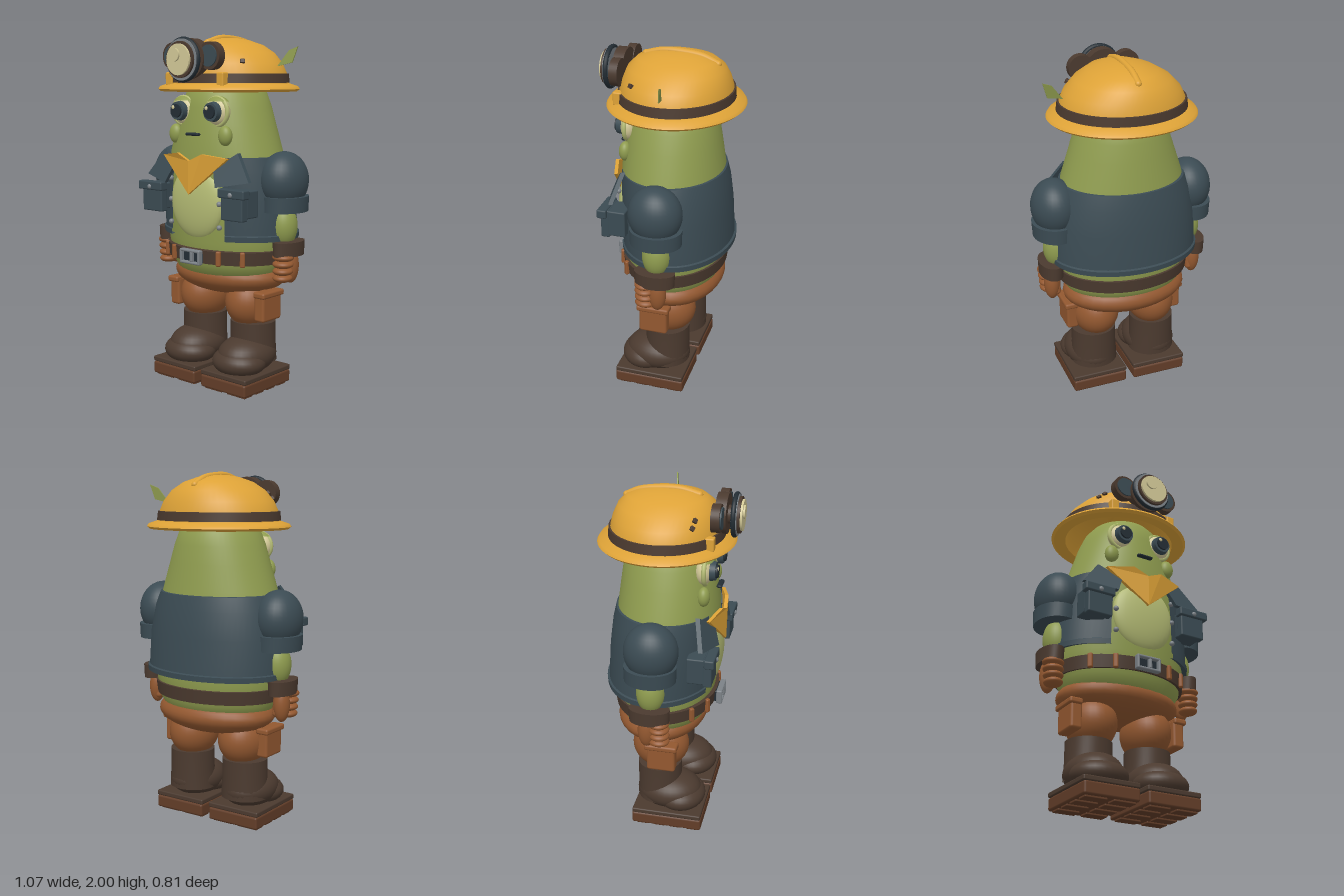
import * as THREE from 'three';
import { toCreasedNormals } from 'three/addons/utils/BufferGeometryUtils.js';
import { RoundedBoxGeometry } from 'three/addons/geometries/RoundedBoxGeometry.js';

const paint = (name, color) => Object.assign(new THREE.MeshStandardMaterial({ color }), { name });

export function createModel() {
  const root = new THREE.Group();
  root.name = 'miner';
  const yellow = paint('helmet yellow', 0xdda237);
  const green = paint('skin green', 0x8f9c4f);
  const pale = paint('belly green', 0xb4bb74);
  const slate = paint('vest slate', 0x3b4b53);
  const brown = paint('dark leather', 0x4b3a2f);
  const rust = paint('rust leather', 0x935830);
  const sole = paint('sole brown', 0x623d28);
  const grey = paint('metal grey', 0x7c8287);
  const cream = paint('lamp cream', 0xd3c997);
  const dark = paint('pupil dark', 0x232d34);

  const add = (name, geo, mat, x = 0, y = 0, z = 0) => {
    const m = new THREE.Mesh(geo, mat);
    m.name = name;
    m.position.set(x, y, z);
    root.add(m);
    return m;
  };
  const ball = (name, mat, x, y, z, rx, ry, rz) =>
    add(name, new THREE.SphereGeometry(1, 32, 20).scale(rx, ry, rz), mat, x, y, z);
  const box = (name, mat, x, y, z, w, h, d, r = 0.008) =>
    add(name, new RoundedBoxGeometry(w, h, d, 2, Math.min(r, w / 2.1, h / 2.1, d / 2.1)), mat, x, y, z);
  // Disc facing forward, spanning z0..z1
  const disc = (name, mat, x, y, z0, z1, r, r2 = r) =>
    add(name, new THREE.CylinderGeometry(r2, r, z1 - z0, 36).rotateX(Math.PI / 2), mat, x, y, (z0 + z1) / 2);
  // Skin over elliptical rings [y, rx, rz, centreZ]; a0 leaves a gap at the front
  const loft = (rows, a0 = 0, n = 56) => {
    const pos = [], idx = [];
    for (const [y, rx, rz, cz = 0] of rows)
      for (let i = 0; i <= n; i++) {
        const a = a0 + (i / n) * (2 * Math.PI - 2 * a0);
        pos.push(rx * Math.sin(a), y, cz + rz * Math.cos(a));
      }
    for (let j = 0; j < rows.length - 1; j++)
      for (let i = 0; i < n; i++) {
        const a = j * (n + 1) + i, b = a + n + 1;
        idx.push(a, a + 1, b + 1, a, b + 1, b);
      }
    const g = new THREE.BufferGeometry();
    g.setAttribute('position', new THREE.Float32BufferAttribute(pos, 3));
    g.setIndex(idx);
    return toCreasedNormals(g, 0.7);
  };
  // Flat outline with a thickness, its z shifted by a rule
  const plate = (name, mat, pts, depth, rule) => {
    const g = new THREE.ExtrudeGeometry(new THREE.Shape(pts.map(p => new THREE.Vector2(...p))), { depth, bevelEnabled: false });
    const p = g.attributes.position;
    for (let i = 0; i < p.count; i++) p.setZ(i, p.getZ(i) + rule(p.getX(i), p.getY(i)));
    g.computeVertexNormals();
    return add(name, g, mat);
  };

  // Body, belly and trousers
  add('body', loft([[0.6, 0, 0, -0.03], [0.62, 0.25, 0.18, -0.03], [0.66, 0.33, 0.24, -0.03], [0.72, 0.368, 0.272, -0.03],
    [0.85, 0.39, 0.29, -0.03], [1, 0.395, 0.295, -0.025], [1.2, 0.385, 0.295, -0.02], [1.35, 0.345, 0.285, -0.01],
    [1.5, 0.295, 0.265, -0.01], [1.6, 0.262, 0.25, -0.01], [1.69, 0.222, 0.23, -0.01], [1.74, 0.18, 0.185, -0.01],
    [1.775, 0.1, 0.11, -0.01], [1.785, 0, 0, -0.01]]), green);
  ball('bellyPatch', pale, 0, 1.075, 0.24, 0.19, 0.21, 0.06);
  ball('trousers', rust, 0, 0.64, -0.045, 0.368, 0.12, 0.262);

  // Vest with an open front
  add('vest', loft([[0.88, 0.4, 0.29, -0.04], [0.87, 0.435, 0.32, -0.045], [0.9, 0.437, 0.322, -0.045], [0.905, 0.428, 0.312, -0.043],
    [1.1, 0.42, 0.308, -0.035], [1.25, 0.39, 0.3, -0.025], [1.33, 0.362, 0.292, -0.015], [1.335, 0.34, 0.27, -0.015]], 0.48),
    Object.assign(slate, { side: THREE.DoubleSide }));
  plate('neckerchief', yellow, [[-0.24, 1.33], [0, 1.125], [0.24, 1.33], [0.09, 1.35], [0, 1.31], [-0.09, 1.35]], 0.02,
    x => 0.295 - 0.9 * x * x);

  // Belt, loops and buckle
  add('belt', loft([[0.74, 0.36, 0.27, -0.025], [0.735, 0.385, 0.292, -0.025], [0.81, 0.395, 0.3, -0.025], [0.815, 0.37, 0.28, -0.025]]), brown);
  for (const x of [-0.295, -0.175, 0.165, 0.285]) {
    const a = Math.asin(x / 0.4);
    box('beltLoop', rust, x, 0.772, -0.025 + 0.302 * Math.cos(a), 0.028, 0.085, 0.025).rotation.y = a;
  }
  box('buckleBack', dark, 0, 0.772, 0.275, 0.13, 0.07, 0.03);
  for (const s of [-1, 1]) {
    box('buckleRail', grey, 0, 0.772 + s * 0.034, 0.295, 0.15, 0.016, 0.035);
    box('buckleSide', grey, s * 0.067, 0.772, 0.295, 0.016, 0.084, 0.035);
  }
  box('bucklePin', grey, 0.01, 0.772, 0.297, 0.02, 0.06, 0.03);

  for (const s of [-1, 1]) {
    // Lapel, buttons and chest pocket
    plate('lapel', slate, [[s * 0.27, 1.36], [s * 0.15, 1.27], [s * 0.19, 1.175], [s * 0.38, 1.21]], 0.025,
      (x, y) => 0.285 - (y - 1.18) * 0.42 - (Math.abs(x) - 0.17) * 0.22);
    for (const y of [1.2, 1.08, 0.95]) ball('vestButton', grey, s * 0.182, y, 0.262, 0.015, 0.015, 0.015);
    box('pocketBacking', slate, s * 0.305, 1.09, 0.21, 0.14, 0.15, 0.1);
    box('pocket', slate, s * 0.3, 1.085, 0.275, 0.15, 0.165, 0.05);
    box('pocketFlap', slate, s * 0.305, 1.15, 0.288, 0.185, 0.05, 0.055);
    ball('pocketButton', grey, s * 0.305, 1.145, 0.315, 0.014, 0.014, 0.01);

    // Arm, glove cuff and fist
    ball('shoulder', slate, s * 0.405, 1.205, -0.025, 0.13, 0.16, 0.15);
    add('sleeveCuff', loft([[1.035, 0, 0], [1.035, 0.12, 0.143], [1.12, 0.125, 0.145], [1.125, 0, 0]], 0, 32), slate, s * 0.41, 0, -0.03);
    ball('forearm', green, s * 0.4, 0.95, -0.03, 0.078, 0.12, 0.08);
    add('gloveCuff', loft([[0.79, 0, 0], [0.79, 0.066, 0.112], [0.87, 0.069, 0.116], [0.872, 0, 0]], 0, 32), brown, s * 0.438, 0, -0.03);
    ball('palm', rust, s * 0.44, 0.73, -0.045, 0.045, 0.1, 0.05);
    for (let i = 0; i < 4; i++)
      ball('finger', rust, s * (0.442 - i * 0.001), 0.785 - i * 0.039, 0.025, 0.062 - i * 0.003, 0.025, 0.058);
    const thumb = add('thumb', new THREE.CapsuleGeometry(0.022, 0.1, 6, 14), rust, s * 0.415, 0.73, -0.055);
    thumb.rotation.x = 0.12;

    // Thigh and leg pouch
    ball('thigh', rust, s * 0.175, 0.49, -0.025, 0.14, 0.15, 0.165);
    box('pouch', rust, s * 0.325, 0.49, 0.012, 0.07, 0.165, 0.165, 0.015);
    box('pouchFlap', rust, s * 0.332, 0.562, 0.012, 0.08, 0.035, 0.19, 0.012);

    // Boot with a treaded sole
    add('bootShaft', loft([[0.15, 0.14, 0.13], [0.27, 0.132, 0.128], [0.38, 0.132, 0.128], [0.385, 0, 0]], 0, 36), brown, s * 0.187, 0, -0.028);
    ball('bootFoot', brown, s * 0.19, 0.19, 0.03, 0.155, 0.11, 0.19);
    ball('toeCap', brown, s * 0.19, 0.16, 0.1, 0.162, 0.085, 0.145);
    box('welt', brown, s * 0.19, 0.098, 0.042, 0.335, 0.03, 0.41);
    box('sole', sole, s * 0.19, 0.047, 0.042, 0.33, 0.072, 0.415, 0.012);
    for (let r = 0; r < 4; r++)
      for (const t of [-1, 1]) box('tread', sole, s * 0.19 + t * 0.085, 0.01, -0.105 + r * 0.1, 0.13, 0.02, 0.07, 0.004);

    // Eye, lid and cheek
    const ex = s * 0.125, ey = 1.58;
    ball('eyeball', cream, ex, ey, 0.205, 0.078, 0.08, 0.05);
    add('eyeRim', new THREE.TorusGeometry(0.075, 0.013, 10, 36), pale, ex, ey, 0.215);
    add('eyelid', new THREE.SphereGeometry(1, 28, 10, 0, Math.PI * 2, 0, 0.85).scale(0.088, 0.086, 0.066), green, ex, ey, 0.206);
    disc('iris', slate, ex, ey, 0.235, 0.272, 0.056, 0.05);
    disc('pupil', dark, ex, ey, 0.27, 0.283, 0.037);
    ball('eyeGlint', cream, ex - 0.018, ey + 0.02, 0.283, 0.011, 0.011, 0.005);
    ball('cheek', green, s * 0.185, 1.45, 0.215, 0.042, 0.055, 0.035);

    // Helmet clip and side lamp
    box('bandClip', yellow, s * 0.19, 1.755, 0.245, 0.05, 0.075, 0.05);
    disc('sideLampRim', brown, s * 0.135, 1.88, 0.245, 0.292, 0.075);
    disc('sideLampLens', slate, s * 0.135, 1.88, 0.29, 0.3, 0.058);
  }
  const mouth = add('mouth', new THREE.CapsuleGeometry(0.009, 0.08, 4, 12).rotateZ(Math.PI / 2), dark, 0, 1.455, 0.275);
  mouth.scale.z = 1.8;

  // Hollow helmet, band and ridge
  const helmet = [[1.95, 0, 0], [1.91, 0.18, 0.19], [1.82, 0.29, 0.26], [1.73, 0.33, 0.29], [1.695, 0.335, 0.3], [1.687, 0.405, 0.365],
    [1.7, 0.42, 0.38], [1.715, 0.41, 0.37], [1.732, 0.36, 0.315], [1.78, 0.35, 0.308], [1.84, 0.32, 0.293], [1.9, 0.262, 0.265],
    [1.945, 0.185, 0.218], [1.972, 0.105, 0.14], [1.983, 0.05, 0.07], [1.985, 0, 0]];
  add('helmet', loft(helmet.map(r => [...r, -0.025])), yellow);
  add('helmetBand', loft([[1.735, 0.34, 0.3, -0.025], [1.735, 0.364, 0.32, -0.025], [1.785, 0.357, 0.316, -0.025], [1.787, 0.33, 0.29, -0.025]]), brown);
  const ridge = [[1.93, -0.25], [1.965, -0.17], [1.98, -0.06], [1.98, 0.05], [1.955, 0.15]].map(([y, z]) => new THREE.Vector3(0, y, z));
  add('helmetRidge', new THREE.TubeGeometry(new THREE.CatmullRomCurve3(ridge), 32, 0.019, 12), yellow);
  for (const p of [ridge[0], ridge[4]]) ball('ridgeEnd', yellow, p.x, p.y, p.z, 0.019, 0.019, 0.019);
  for (const [x, y, z] of [[-0.24, 1.85, 0.158], [-0.205, 1.88, 0.165], [0.25, 1.85, 0.15]])
    box('helmetChip', brown, x, y, z, 0.025, 0.022, 0.025, 0.002).rotation.set(-0.6, x * 3, 0.4);

  // Headlamp
  disc('lampBase', brown, 0, 1.865, 0.25, 0.31, 0.11);
  disc('lampNeck', brown, 0, 1.86, 0.3, 0.345, 0.05);
  disc('lampHousing', grey, 0, 1.86, 0.335, 0.365, 0.112);
  add('lampRing', new THREE.TorusGeometry(0.108, 0.014, 12, 40), dark, 0, 1.86, 0.348);
  disc('lampBezel', brown, 0, 1.86, 0.365, 0.38, 0.098);
  disc('lampLens', cream, 0, 1.86, 0.378, 0.392, 0.084);
  disc('lampBulb', cream, -0.02, 1.885, 0.392, 0.402, 0.036);

  // Leaf tucked into the helmet
  plate('leaf', green, [[0.34, 1.825], [0.43, 1.845], [0.457, 1.93], [0.405, 1.91]], 0.006,
    (x, y) => -0.045 - (x - 0.34) * 0.15 - (y - 1.83) * 0.1);
  return root;
}
